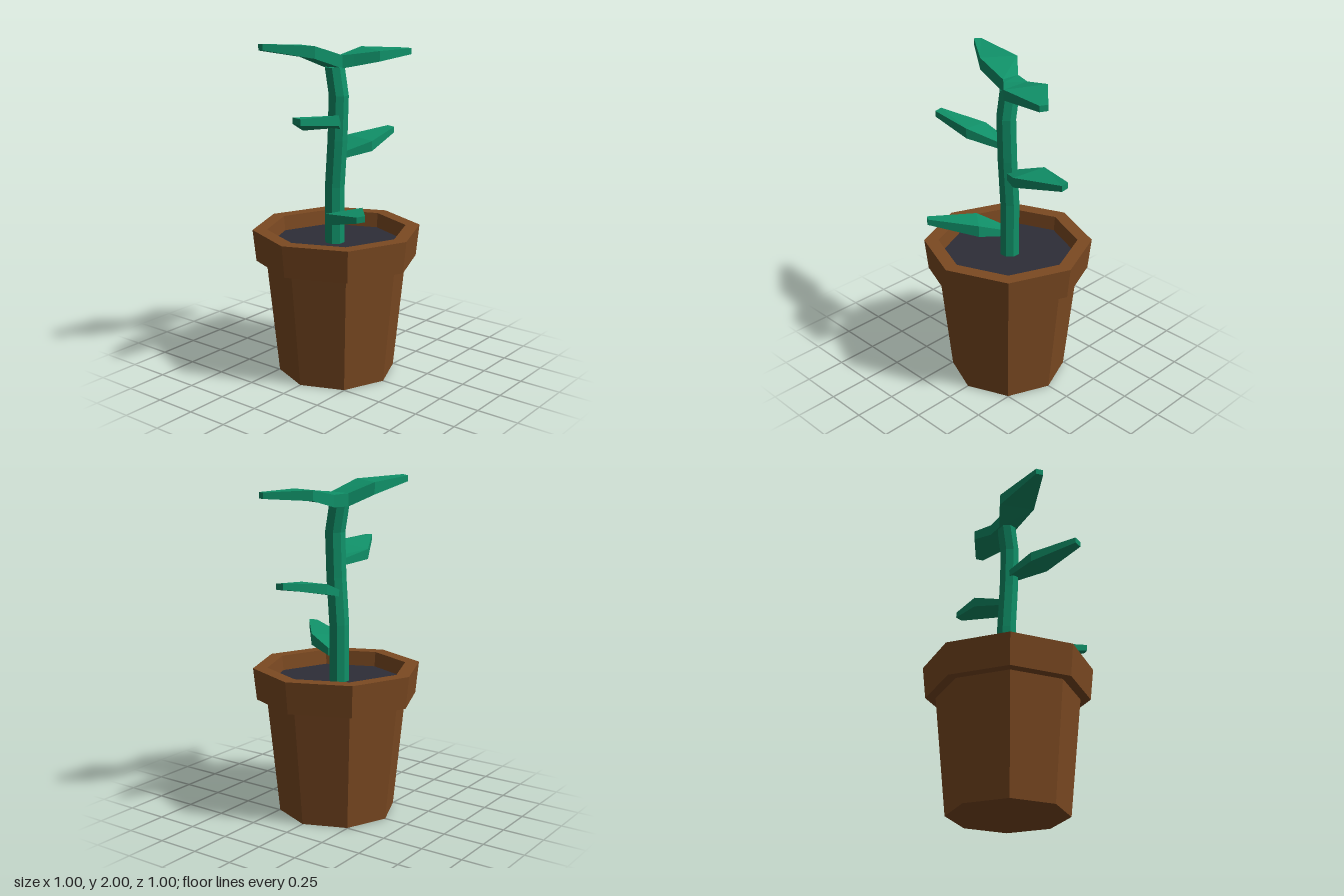
import * as THREE from 'three';

const green = new THREE.MeshStandardMaterial({ color: 0x109068, flatShading: true, name: 'leafGreen' });
const brown = new THREE.MeshStandardMaterial({ color: 0x7c4a22, flatShading: true, name: 'terracottaBrown' });
const dark = new THREE.MeshStandardMaterial({ color: 0x2e2d37, flatShading: true, name: 'soilDark' });

function mesh(name, geometry, material) {
  const flat = geometry.index ? geometry.toNonIndexed() : geometry;
  flat.computeVertexNormals();
  const m = new THREE.Mesh(flat, material);
  m.name = name;
  return m;
}

// Skin closed rings of points, running from the first ring to the last, with capped ends.
function loft(rings) {
  const n = rings[0].length;
  const index = [];
  for (let s = 0; s < rings.length - 1; s++) {
    for (let i = 0; i < n; i++) {
      const j = (i + 1) % n;
      const a = s * n + i, b = s * n + j, c = b + n, d = a + n;
      index.push(a, b, c, a, c, d);
    }
  }
  const last = (rings.length - 1) * n;
  for (let i = 1; i < n - 1; i++) {
    index.push(0, i + 1, i, last, last + i, last + i + 1);
  }
  const g = new THREE.BufferGeometry();
  g.setAttribute('position', new THREE.Float32BufferAttribute(rings.flat(2), 3));
  g.setIndex(index);
  return g;
}

// Leaf section: top left corner, top right corner (seen from base to tip), thickness.
function leaf(name, sections) {
  const rings = sections.map(([l, r, t]) => [
    l, r, [r[0], r[1] - t, r[2]], [l[0], l[1] - t, l[2]],
  ]);
  return mesh(name, loft(rings), green);
}

export function createModel() {
  const group = new THREE.Group();

  // Eight-sided pot with a thick rim and an inner lip
  const profile = [[0, 0], [0.35, 0], [0.42, 0.7], [0.48, 0.7], [0.5, 0.89], [0.415, 0.89], [0.405, 0.79]]
    .map(([r, y]) => new THREE.Vector2(r, y));
  group.add(mesh('pot', new THREE.LatheGeometry(profile, 8), brown));

  // Soil
  const soil = mesh('soil', new THREE.CylinderGeometry(0.406, 0.4, 0.04, 8), dark);
  soil.position.y = 0.78;
  group.add(soil);

  // Gently bent stem: centre x and height of each ring
  const stemRings = [[-0.015, 0.79], [-0.015, 1.14], [0.005, 1.42], [0.014, 1.68], [-0.015, 1.84]].map(([x, y]) => {
    const ring = [];
    for (let i = 0; i < 8; i++) {
      const a = ((i + 0.5) / 8) * Math.PI * 2;
      ring.push([x + 0.06 * Math.cos(a), y, -0.06 * Math.sin(a)]);
    }
    return ring;
  });
  group.add(mesh('stem', loft(stemRings), green));

  // Side leaves, lowest first
  group.add(leaf('lowLeaf', [
    [[0.065, 0.985, 0.0], [0.0, 0.98, 0.06], 0.045],
    [[0.21, 1.05, 0.03], [0.07, 1.025, 0.195], 0.07],
    [[0.4, 1.08, 0.26], [0.37, 1.075, 0.3], 0.035],
  ]));
  group.add(leaf('backLeaf', [
    [[-0.04, 1.35, -0.03], [0.04, 1.35, -0.03], 0.04],
    [[-0.08, 1.41, -0.21], [0.13, 1.4, -0.17], 0.06],
    [[0.022, 1.44, -0.48], [0.07, 1.435, -0.48], 0.035],
  ]));
  group.add(leaf('frontLeaf', [
    [[0.05, 1.53, 0.03], [-0.03, 1.525, 0.03], 0.04],
    [[0.155, 1.6, 0.18], [-0.055, 1.56, 0.24], 0.06],
    [[0.125, 1.615, 0.475], [0.075, 1.62, 0.48], 0.035],
  ]));

  // Pair of top leaves joined over the stem
  group.add(leaf('topFrontLeaf', [
    [[0.04, 1.91, 0.0], [-0.08, 1.905, 0.0], 0.075],
    [[0.01, 1.975, 0.21], [-0.185, 1.965, 0.11], 0.07],
    [[-0.165, 1.995, 0.445], [-0.21, 1.99, 0.43], 0.035],
  ]));
  group.add(leaf('topBackLeaf', [
    [[-0.08, 1.905, 0.0], [0.04, 1.91, 0.0], 0.075],
    [[-0.05, 1.9, -0.1], [0.085, 1.915, -0.05], 0.07],
    [[-0.03, 1.935, -0.27], [0.19, 1.93, -0.155], 0.06],
    [[0.17, 1.925, -0.46], [0.215, 1.925, -0.44], 0.035],
  ]));

  return group;
}
